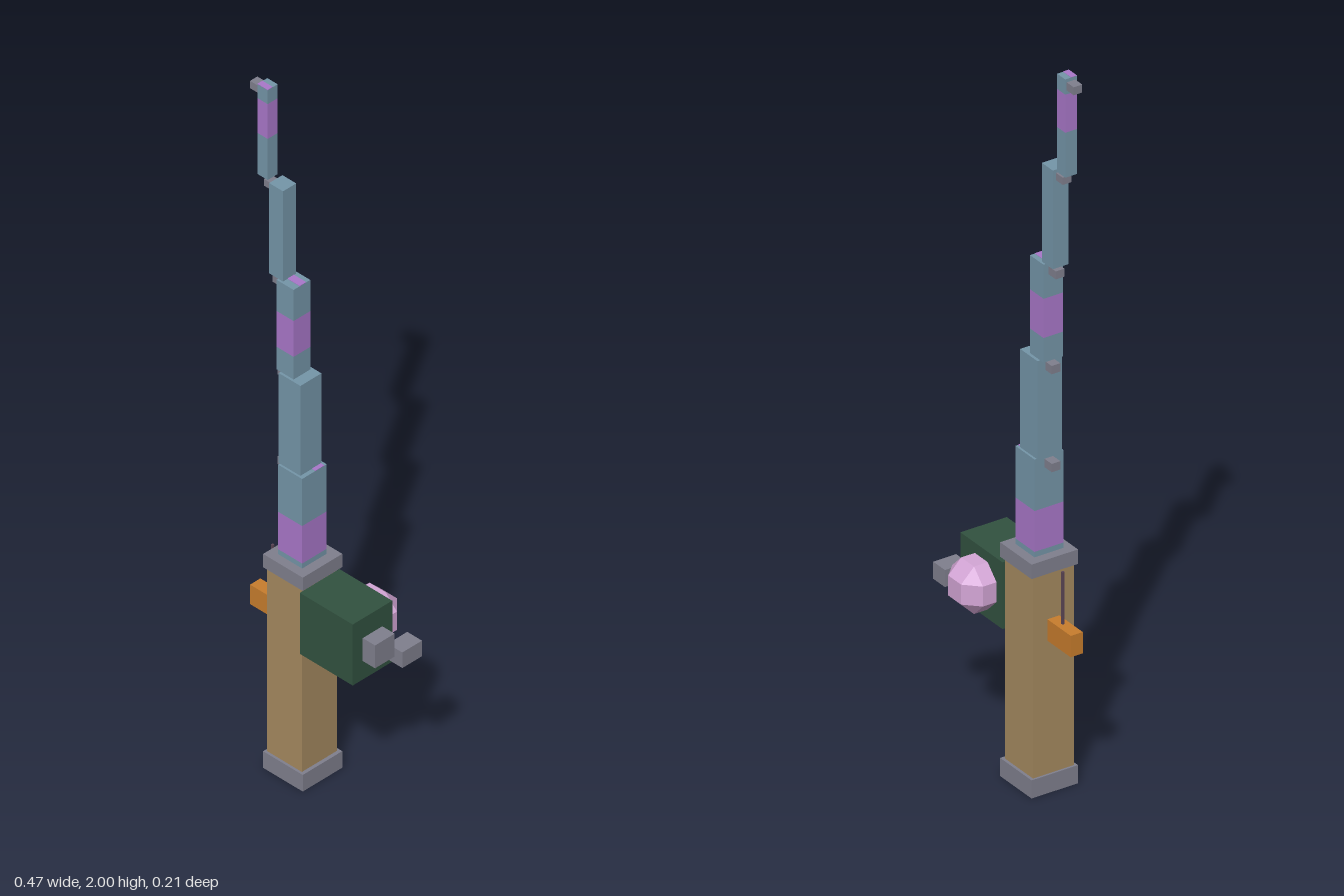
import * as THREE from 'three';
import { ConvexGeometry } from 'three/addons/geometries/ConvexGeometry.js';

const mat = (name, color) => {
  const m = new THREE.MeshStandardMaterial({ color });
  m.name = name;
  return m;
};

export function createModel() {
  const root = new THREE.Group();
  root.name = 'fishingRod';

  const grey = mat('grey metal', 0x80808e);
  const blue = mat('steel blue', 0x7596a9);
  const purple = mat('purple band', 0xaa78ca);
  const tan = mat('tan grip', 0xa68a60);
  const green = mat('dark green', 0x325240);
  const orange = mat('orange trigger', 0xc87d2d);
  const pink = mat('pink knob', 0xd4a6d6);
  const dark = mat('dark line', 0x5c4656);

  // Box from its min and max on each axis
  const box = (name, m, x0, x1, y0, y1, z0, z1, parent = root) => {
    const mesh = new THREE.Mesh(new THREE.BoxGeometry(x1 - x0, y1 - y0, z1 - z0), m);
    mesh.position.set((x0 + x1) / 2, (y0 + y1) / 2, (z0 + z1) / 2);
    mesh.name = name;
    parent.add(mesh);
  };

  // Handle with end collars
  box('buttCap', grey, -0.138, -0.003, 0, 0.05, -0.03, 0.105);
  box('grip', tan, -0.132, -0.013, 0.05, 0.605, -0.022, 0.098);
  box('topCollar', grey, -0.138, -0.003, 0.605, 0.645, -0.03, 0.105);

  // Trigger and its line
  box('trigger', orange, -0.232, -0.132, 0.417, 0.476, 0.02, 0.055);
  box('triggerLine', dark, -0.175, -0.169, 0.476, 0.62, 0.035, 0.041);

  // Reel housing and crank
  box('reelHousing', green, -0.013, 0.167, 0.41, 0.594, -0.03, 0.105);
  box('crankAxle', grey, 0.167, 0.209, 0.466, 0.535, 0.004, 0.071);
  box('crankHandle', grey, 0.185, 0.235, 0.445, 0.492, -0.063, 0.004);

  // Faceted knob on the back of the reel
  const a = 0.0275, b = 0.0655, pts = [];
  for (const x of [-1, 1]) for (const y of [-1, 1]) for (const z of [-1, 1]) {
    pts.push(new THREE.Vector3(b * x, a * y, a * z),
      new THREE.Vector3(a * x, b * y, a * z),
      new THREE.Vector3(a * x, a * y, b * z));
  }
  const knob = new THREE.Mesh(new ConvexGeometry(pts), pink);
  knob.position.set(0.078, 0.5, -0.042);
  knob.name = 'reelKnob';
  root.add(knob);

  // Stepped rod: x range, y range, z range, optional band, top patch in z, guide
  const sections = [
    { x: [-0.112, -0.03], y: [0.645, 0.915], z: [-0.004, 0.08], band: [0.66, 0.773], patch: [0.004, 0.035], guide: [-0.143, 0.885, 0.908] },
    { x: [-0.116, -0.042], y: [0.915, 1.186], z: [0.002, 0.074], guide: [-0.143, 1.155, 1.178] },
    { x: [-0.13, -0.072], y: [1.186, 1.456], z: [0.01, 0.067], band: [1.254, 1.362], patch: [0.024, 0.046], guide: [-0.161, 1.425, 1.447] },
    { x: [-0.161, -0.114], y: [1.456, 1.728], z: [0.016, 0.061], guide: [-0.19, 1.699, 1.719] },
    { x: [-0.207, -0.172], y: [1.728, 1.999], z: [0.021, 0.055], band: [1.852, 1.957], patch: [0.038, 0.055], guide: [-0.237, 1.968, 1.99] },
  ];
  sections.forEach((s, i) => {
    const g = new THREE.Group();
    g.name = 'rodSection' + (i + 1);
    const [x0, x1] = s.x, [y0, y1] = s.y, [z0, z1] = s.z;
    if (s.band) {
      box('lowerTube', blue, x0, x1, y0, s.band[0], z0, z1, g);
      box('band', purple, x0, x1, ...s.band, z0, z1, g);
      box('upperTube', blue, x0, x1, s.band[1], y1, z0, z1, g);
      box('topPatch', purple, x0, x1, y1 - 0.001, y1 + 0.001, ...s.patch, g);
    } else {
      box('tube', blue, x0, x1, y0, y1, z0, z1, g);
    }
    box('lineGuide', grey, s.guide[0], x0, s.guide[1], s.guide[2], 0.025, 0.05, g);
    root.add(g);
  });

  return root;
}
